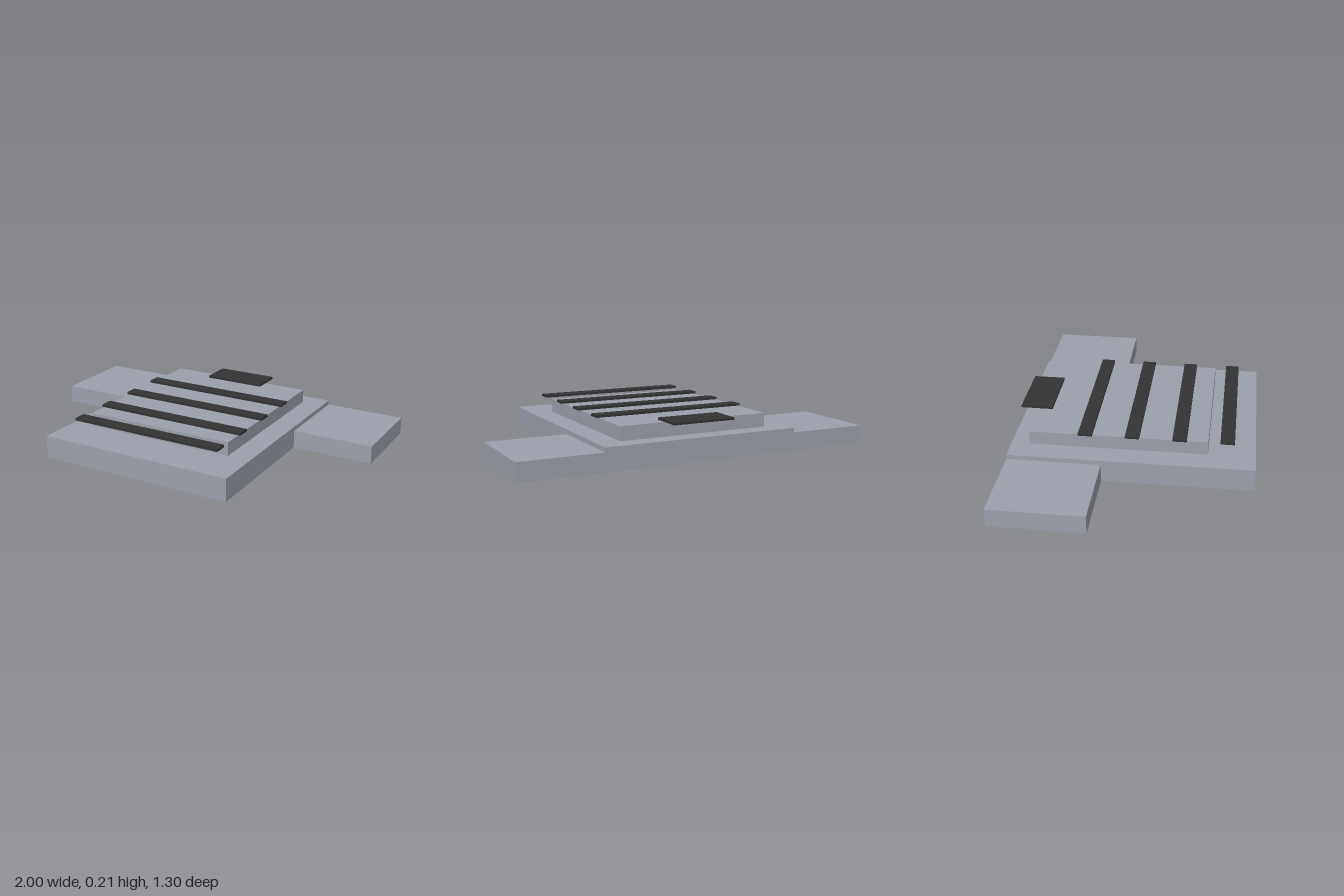
import * as THREE from 'three';

export function createModel() {
  const model = new THREE.Group();
  model.name = 'stripedShirt';
  const greyCloth = new THREE.MeshStandardMaterial({ color: 0x9ca0aa });
  greyCloth.name = 'grey cloth';
  const darkStripe = new THREE.MeshStandardMaterial({ color: 0x333333 });
  darkStripe.name = 'dark stripe';

  // Box given by its size and the centre of its underside
  const slab = (name, material, [w, h, d], [x, y, z]) => {
    const mesh = new THREE.Mesh(new THREE.BoxGeometry(w, h, d), material);
    mesh.name = name;
    mesh.position.set(x, y + h / 2, z);
    model.add(mesh);
  };

  // Body and the raised panel on top of it
  slab('body', greyCloth, [1.1, 0.125, 1.3], [0, 0, 0]);
  slab('raisedPanel', greyCloth, [0.85, 0.075, 0.95], [0, 0.125, -0.075]);

  // Sleeves
  for (const [name, side] of [['leftSleeve', 1], ['rightSleeve', -1]]) {
    slab(name, greyCloth, [0.45, 0.1, 0.5], [side * 0.775, 0, -0.4]);
  }

  // Stripes, the front one reaching out past the panel
  [-0.25, 0, 0.25, 0.5].forEach((z, i) => {
    slab(`stripe${i + 1}`, darkStripe, [0.875, 0.0125, 0.075], [0, 0.2, z]);
  });

  // Collar plate overhanging the back of the panel
  slab('collar', darkStripe, [0.35, 0.0125, 0.175], [0, 0.2, -0.5625]);

  return model;
}
